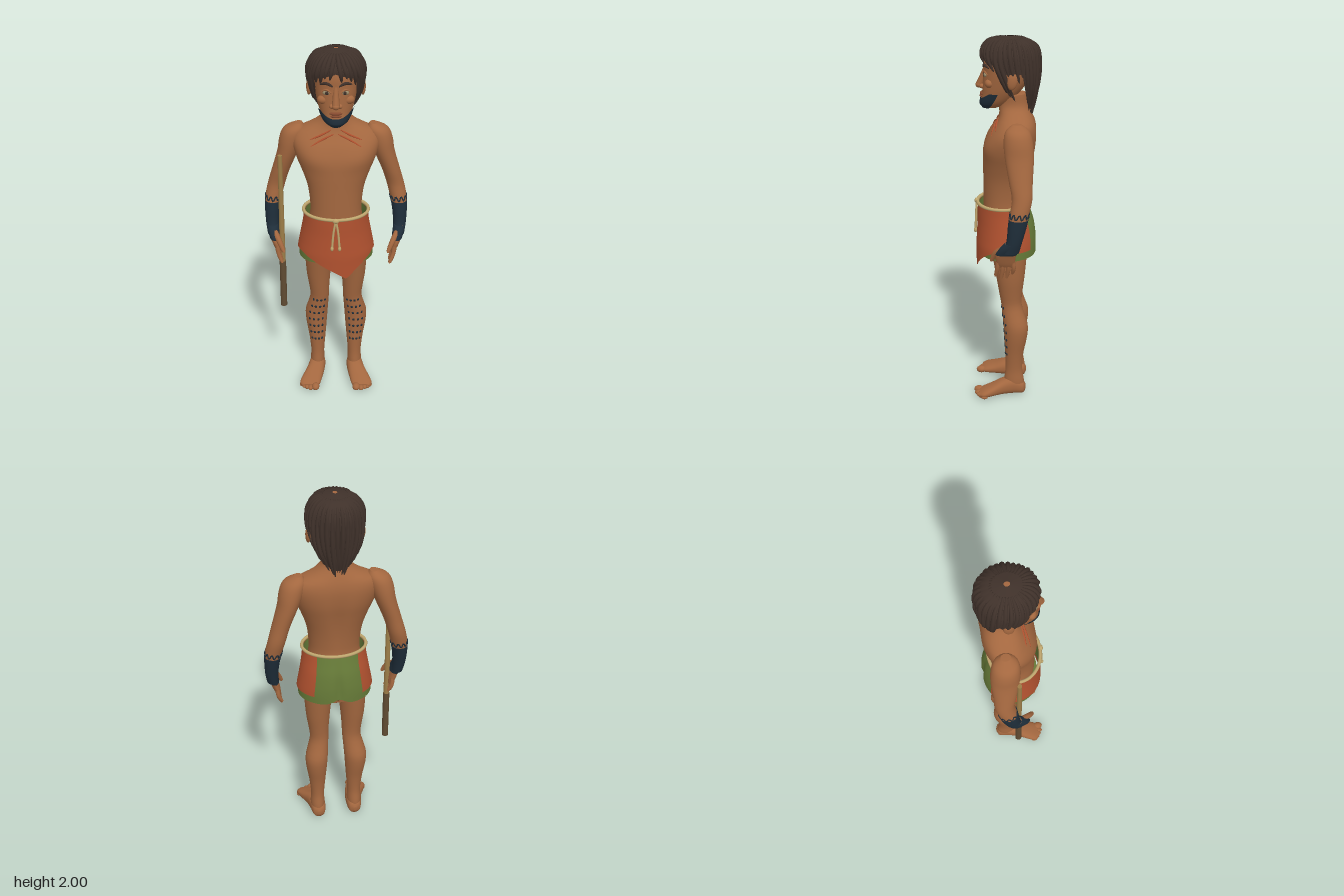
import * as THREE from 'three';
import { mergeVertices } from 'three/addons/utils/BufferGeometryUtils.js';

const mat = (name, color, side = THREE.FrontSide) => {
  const m = new THREE.MeshStandardMaterial({ color, side });
  m.name = name;
  return m;
};
const V = (x, y, z) => new THREE.Vector3(x, y, z);
const gauss = (x, w) => Math.exp(-(x * x) / (w * w));
const spow = (v, p) => Math.sign(v) * Math.abs(v) ** p;

// Smooth body surface through sections [y, centreX, centreZ, radiusX, radiusZ], rising in y.
// Angle 0 faces front, positive angles turn towards +x.
function surface(S, p = 1, bump = () => 0) {
  const slope = (i, k) => {
    const a = S[Math.max(0, i - 1)], b = S[Math.min(S.length - 1, i + 1)];
    return (b[k] - a[k]) / (b[0] - a[0]);
  };
  const at = (y) => {
    let i = 0;
    while (i < S.length - 2 && y > S[i + 1][0]) i++;
    const h = S[i + 1][0] - S[i][0], u = THREE.MathUtils.clamp((y - S[i][0]) / h, 0, 1), u2 = u * u, u3 = u2 * u;
    return [1, 2, 3, 4].map((k) => (2 * u3 - 3 * u2 + 1) * S[i][k] + (u3 - 2 * u2 + u) * h * slope(i, k)
      + (3 * u2 - 2 * u3) * S[i + 1][k] + (u3 - u2) * h * slope(i + 1, k));
  };
  const f = (y, a, grow = 0) => {
    const [cx, cz, rx, rz] = at(y), g = grow + bump(y, a);
    return V(cx + Math.max(0.001, rx + g) * spow(Math.sin(a), p), y, cz + Math.max(0.001, rz + g) * spow(Math.cos(a), p));
  };
  f.front = (x, y, grow) => f(y, Math.asin(spow((x - at(y)[0]) / at(y)[2], 1 / p)), grow);
  f.y0 = S[0][0];
  f.y1 = S[S.length - 1][0];
  return f;
}

// Closed body between two heights
function loft(f, { from = f.y0, to = f.y1, grow = 0, rows = 40, seg = 40, caps = true } = {}) {
  const pos = [], idx = [];
  for (let i = 0; i <= rows; i++) {
    const y = from + (to - from) * (1 - Math.cos(Math.PI * i / rows)) / 2;
    for (let j = 0; j < seg; j++) pos.push(...f(y, j / seg * Math.PI * 2, grow).toArray());
  }
  for (let i = 0; i < rows; i++) for (let j = 0; j < seg; j++) {
    const a = i * seg + j, b = i * seg + (j + 1) % seg;
    idx.push(a, b, a + seg, b, b + seg, a + seg);
  }
  if (caps) for (const [row, y] of [[0, from], [rows, to]]) {
    const c = pos.length / 3, m = f(y, 0).add(f(y, Math.PI)).multiplyScalar(0.5);
    pos.push(m.x, m.y, m.z);
    for (let j = 0; j < seg; j++) {
      const a = row * seg + j, b = row * seg + (j + 1) % seg;
      row ? idx.push(a, b, c) : idx.push(b, a, c);
    }
  }
  return toGeometry(pos, idx);
}

// Sheet lying on a surface, with its own lower and upper edge
function sheet(f, a0, a1, top, bottom, grow, { cols = 80, rows = 20, power = 1 } = {}) {
  const pos = [], idx = [], w = cols + 1;
  for (let i = 0; i <= rows; i++) for (let j = 0; j <= cols; j++) {
    const a = a0 + (a1 - a0) * j / cols, t = (1 - i / rows) ** power;
    pos.push(...f(top(a) + (bottom(a) - top(a)) * t, a, grow).toArray());
  }
  for (let i = 0; i < rows; i++) for (let j = 0; j < cols; j++) {
    const a = i * w + j;
    idx.push(a, a + 1, a + w, a + 1, a + w + 1, a + w);
  }
  return toGeometry(pos, idx);
}

function toGeometry(pos, idx) {
  let g = new THREE.BufferGeometry();
  g.setAttribute('position', new THREE.Float32BufferAttribute(pos, 3));
  g.setIndex(idx);
  g = mergeVertices(g, 1e-5);
  g.computeVertexNormals();
  return g;
}

// Tube whose radius follows a rule along its length
function tube(points, radius, closed = false, seg = 20, sides = 8) {
  const curve = new THREE.CatmullRomCurve3(points, closed), g = new THREE.TubeGeometry(curve, seg, 1, sides, closed);
  const p = g.attributes.position, v = V(0, 0, 0);
  for (let i = 0; i < p.count; i++) {
    const t = Math.floor(i / (sides + 1)) / seg, c = curve.getPointAt(Math.min(1, t));
    v.fromBufferAttribute(p, i).sub(c).multiplyScalar(typeof radius === 'number' ? radius : radius(t)).add(c);
    p.setXYZ(i, v.x, v.y, v.z);
  }
  return g;
}
const finger = (r) => (t) => r * (1 - 0.25 * t) * Math.sqrt(Math.max(0, 1 - t ** 8));
const strand = (r) => (t) => r * Math.sqrt(Math.max(0, Math.sin(Math.PI * Math.min(1, 0.05 + t * 0.95))));

export function createModel() {
  const root = new THREE.Group();
  root.name = 'figure';
  const skin = mat('skin', 0xa3673f), hairMat = mat('dark hair', 0x3f312a, THREE.DoubleSide);
  const navy = mat('navy dye', 0x1f2e3a, THREE.DoubleSide), red = mat('rust cloth', 0xb0512f, THREE.DoubleSide);
  const green = mat('green cloth', 0x667a38, THREE.DoubleSide), cord = mat('cord', 0xbfa66e);
  const cane = mat('cane', 0x9c7d48), darkCane = mat('dark cane', 0x604b32);
  const lip = mat('lip brown', 0x84492f), eyeMat = mat('eye', 0x9a8a68);
  const add = (parent, name, g, m) => {
    const mesh = new THREE.Mesh(g, m);
    mesh.name = name;
    parent.add(mesh);
    return mesh;
  };
  const ball = (parent, name, m, [x, y, z], [a, b, c]) => {
    const o = add(parent, name, new THREE.SphereGeometry(1, 16, 12), m);
    o.position.set(x, y, z);
    o.scale.set(a, b, c);
    return o;
  };

  // Torso with chest, spine groove and neck
  const torso = surface([[0.82, 0, -0.015, 0.13, 0.11], [0.92, 0, -0.012, 0.16, 0.13], [1.0, 0, 0, 0.155, 0.128],
    [1.1, 0, 0.012, 0.138, 0.116], [1.18, 0, 0.01, 0.14, 0.118], [1.26, 0, 0.004, 0.153, 0.124], [1.34, 0, -0.004, 0.18, 0.132],
    [1.42, 0, -0.015, 0.212, 0.138], [1.5, 0, -0.032, 0.228, 0.125], [1.55, 0, -0.045, 0.2, 0.103], [1.585, 0, -0.045, 0.125, 0.088],
    [1.63, 0, -0.035, 0.074, 0.078], [1.7, 0, -0.025, 0.068, 0.075]], 0.92,
  (y, a) => 0.01 * gauss(Math.abs(a > Math.PI ? a - 2 * Math.PI : a) - 0.55, 0.4) * gauss(y - 1.44, 0.06)
    - 0.012 * gauss(Math.abs(a) - Math.PI, 0.2) * gauss(y - 1.32, 0.2));
  add(root, 'torso', loft(torso, { rows: 60, seg: 64 }), skin);

  // Chest paint
  for (const s of [-1, 1]) for (const line of [[[0.012, 1.555], [0.06, 1.535], [0.13, 1.495]], [[0.025, 1.575], [0.075, 1.55], [0.135, 1.525]]])
    add(root, 'chestPaint', tube(line.map(([x, y]) => torso.front(s * x, y, 0)), strand(0.0055)), red);

  // One side of the body, mirrored for the other
  const side = new THREE.Group();
  side.name = 'leftLimbs';
  const arm = surface([[0.94, 0.343, -0.025, 0.028, 0.042], [1.0, 0.348, -0.045, 0.032, 0.038], [1.08, 0.346, -0.06, 0.038, 0.045],
    [1.15, 0.337, -0.072, 0.045, 0.049], [1.22, 0.32, -0.084, 0.047, 0.052], [1.3, 0.296, -0.077, 0.048, 0.06],
    [1.42, 0.254, -0.068, 0.056, 0.074], [1.5, 0.232, -0.062, 0.064, 0.074], [1.55, 0.215, -0.058, 0.055, 0.06], [1.578, 0.195, -0.055, 0.02, 0.025]]);
  add(side, 'arm', loft(arm), skin);
  add(side, 'dyedForearm', loft(arm, { to: 1.12, grow: 0.003 }), navy);
  add(side, 'zigzagBand', tube(Array.from({ length: 20 }, (_, i) => arm(i % 2 ? 1.155 : 1.128, i / 20 * Math.PI * 2)), 0.004, true, 120, 6), navy);
  const palm = surface([[0.85, 0.312, 0.0, 0.014, 0.042], [0.87, 0.318, 0.0, 0.019, 0.048], [0.92, 0.332, -0.002, 0.024, 0.052],
    [0.96, 0.342, -0.018, 0.029, 0.047], [0.99, 0.347, -0.035, 0.03, 0.038]]);
  add(side, 'palm', loft(palm, { rows: 16, seg: 24 }), skin);
  add(side, 'dyedHandBack', loft(palm, { from: 0.925, grow: 0.003, rows: 12, seg: 24 }), navy);
  [[-0.036, 0.8], [-0.012, 0.775], [0.013, 0.77], [0.037, 0.785]].forEach(([z, y]) =>
    add(side, 'finger', tube([V(0.32, 0.885, z), V(0.313, 0.84, z * 1.15), V(0.293, y, z * 1.2 + 0.01)], finger(0.0135)), skin));
  add(side, 'thumb', tube([V(0.333, 0.96, 0.01), V(0.308, 0.925, 0.05), V(0.28, 0.865, 0.078)], finger(0.0165)), skin);

  // Leg with rows of dye dots on the shin
  const leg = surface([[0.03, 0.108, -0.045, 0.038, 0.055], [0.08, 0.108, -0.042, 0.04, 0.055], [0.15, 0.107, -0.04, 0.038, 0.047],
    [0.25, 0.108, -0.043, 0.047, 0.051], [0.35, 0.112, -0.05, 0.059, 0.063], [0.42, 0.111, -0.05, 0.063, 0.067], [0.48, 0.101, -0.037, 0.057, 0.061],
    [0.54, 0.092, -0.026, 0.052, 0.056], [0.6, 0.094, -0.022, 0.056, 0.062], [0.7, 0.097, -0.02, 0.067, 0.076], [0.85, 0.093, -0.015, 0.078, 0.095], [0.94, 0.085, -0.015, 0.075, 0.1]]);
  add(side, 'leg', loft(leg, { rows: 56 }), skin);
  for (let r = 0; r < 7; r++) for (let c = 0; c < 4; c++) {
    const p = leg(0.25 + r * 0.046, -0.62 + c * 0.42, -0.002);
    ball(side, 'shinDot', navy, p.toArray(), [0.0075, 0.0085, 0.006]);
  }

  // Foot, lofted from heel to toe
  const foot = surface([[-0.107, 0.106, -0.034, 0.008, 0.012], [-0.095, 0.106, -0.036, 0.032, 0.034], [-0.04, 0.108, -0.05, 0.045, 0.05],
    [0.02, 0.118, -0.044, 0.05, 0.044], [0.08, 0.137, -0.031, 0.057, 0.031], [0.125, 0.149, -0.022, 0.058, 0.022], [0.15, 0.148, -0.018, 0.045, 0.014]], 0.85);
  add(side, 'foot', loft(foot, { rows: 30 }).rotateX(Math.PI / 2), skin);
  [[0.117, 0.155, 0.022, 0.028], [0.145, 0.155, 0.015, 0.024], [0.166, 0.146, 0.014, 0.022], [0.183, 0.136, 0.013, 0.02], [0.197, 0.122, 0.012, 0.019]]
    .forEach(([x, z, r, l]) => ball(side, 'toe', skin, [x, r * 0.9, z], [r, r * 0.9, l]));
  root.add(side);
  const other = side.clone();
  other.name = 'rightLimbs';
  other.scale.x = -1;
  root.add(other);

  // Green shorts and rust wrap
  const hips = [[0.74, 0, 0, 0.212, 0.166], [0.83, 0, 0, 0.207, 0.166], [0.88, 0, 0, 0.206, 0.166], [0.93, 0, 0, 0.197, 0.163],
    [1.0, 0, 0.004, 0.184, 0.155], [1.06, 0, 0.013, 0.174, 0.145], [1.11, 0, 0.02, 0.17, 0.136]];
  const wrap = surface(hips);
  const shorts = surface(hips, 1, (y, a) => -0.014 * gauss(Math.abs(a) - Math.PI, 0.12) * gauss(y - 0.9, 0.12));
  add(root, 'shorts', sheet(shorts, -Math.PI, Math.PI, () => 1.105, (a) => 0.83 + 0.025 * gauss(Math.abs(a) - Math.PI, 0.25) + 0.03 * gauss(a, 0.5), -0.006), green);
  add(root, 'shortsBase', loft(wrap, { from: 0.85, to: 0.88, grow: -0.02, rows: 4 }), green);
  add(root, 'wrapCloth', sheet(wrap, -2.45, 2.45, () => 1.11, (a) => {
    if (Math.abs(a) > 1.4) return 0.875;
    const x = Math.sin(a), d = x > 0.27 ? (x - 0.27) / 0.7 : (0.27 - x) / 1.15;
    return 0.75 + 0.13 * Math.min(1, d) ** 0.85;
  }, 0.002), red);

  // Cord belt with knot and tails
  add(root, 'cordBelt', tube(Array.from({ length: 24 }, (_, i) => wrap(1.11, i / 24 * Math.PI * 2, 0.004)), 0.009, true, 96), cord);
  ball(root, 'beltKnot', cord, [0, 1.108, 0.165], [0.018, 0.014, 0.012]);
  for (const s of [-1, 1]) {
    add(root, 'cordTail', tube([V(0, 1.11, 0.165), V(s * 0.012, 1.04, 0.168), V(s * 0.02, 0.945, 0.172)], 0.006), cord);
    ball(root, 'tailKnot', cord, [s * 0.02, 0.945, 0.172], [0.009, 0.014, 0.009]);
  }

  // Long cane pipe held in the right hand
  [[0.74, 1.41, 0.012, 0.016, cane], [0.48, 0.77, 0.018, 0.018, darkCane]].forEach(([y0, y1, r1, r0, m]) => {
    add(root, 'canePipe', new THREE.CylinderGeometry(r1, r0, y1 - y0, 16), m).position.set(-0.295, (y0 + y1) / 2, -0.002);
  });

  // Head
  const head = surface([[1.622, 0, 0.088, 0.025, 0.035], [1.645, 0, 0.068, 0.058, 0.07], [1.7, 0, 0.035, 0.086, 0.096], [1.76, 0, 0.012, 0.102, 0.115],
    [1.82, 0, 0, 0.111, 0.122], [1.88, 0, -0.01, 0.115, 0.13], [1.94, 0, -0.015, 0.098, 0.113], [1.975, 0, -0.015, 0.05, 0.06]], 0.93);
  add(root, 'head', loft(head), skin);
  add(root, 'chinBeard', sheet(head, -1.45, 1.45, (a) => 1.672 + 0.035 * Math.min(1, Math.abs(a)) ** 2, () => 1.622, 0.006, { cols: 40 }), navy);
  add(root, 'noseBridge', tube([V(0, 1.83, 0.112), V(0, 1.79, 0.126), V(0, 1.745, 0.143)], (t) => 0.012 + 0.008 * t), skin);
  ball(root, 'noseTip', skin, [0, 1.742, 0.144], [0.02, 0.017, 0.021]);
  ball(root, 'upperLip', lip, [0, 1.699, 0.131], [0.033, 0.008, 0.012]);
  ball(root, 'lowerLip', lip, [0, 1.685, 0.132], [0.028, 0.008, 0.012]);
  for (const s of [-1, 1]) {
    ball(root, 'nostril', skin, [s * 0.02, 1.738, 0.13], [0.014, 0.012, 0.015]);
    ball(root, 'cheek', skin, [s * 0.062, 1.76, 0.09], [0.032, 0.024, 0.025]);
    const e = head.front(s * 0.045, 1.803, 0);
    ball(root, 'eye', eyeMat, [e.x, e.y, e.z - 0.004], [0.021, 0.013, 0.011]);
    ball(root, 'pupil', hairMat, [e.x, e.y, e.z + 0.004], [0.009, 0.01, 0.005]);
    add(root, 'upperLid', tube([[0.02, 1.803], [0.045, 1.819], [0.072, 1.805]].map(([x, y]) => head.front(s * x, y, 0.002)), strand(0.005)), skin);
    add(root, 'eyebrow', tube([[0.015, 1.838], [0.045, 1.852], [0.08, 1.84]].map(([x, y]) => head.front(s * x, y, 0.002)), strand(0.008)), hairMat);
    ball(root, 'ear', skin, [s * 0.138, 1.785, -0.03], [0.014, 0.044, 0.026]).rotation.x = -0.15;
  }

  // Hair cap with parted fringe, side locks and long back
  const hair = surface([[1.61, 0, -0.08, 0.055, 0.045], [1.68, 0, -0.07, 0.1, 0.078], [1.75, 0, -0.05, 0.13, 0.108], [1.83, 0, -0.03, 0.141, 0.134],
    [1.9, 0, -0.018, 0.14, 0.15], [1.95, 0, -0.015, 0.118, 0.132], [1.98, 0, -0.015, 0.08, 0.092], [1.995, 0, -0.015, 0.012, 0.015]], 1,
  (y, a) => 0.005 * Math.abs(Math.sin(a * 11 + (1.9 - y) * 4)) * Math.min(1, (2 - y) * 12));
  const hairline = (a) => {
    const b = Math.abs(a);
    if (b < 0.85) return 1.905 - 0.05 * b;
    if (b < 1.3) return 1.72;
    if (b < 1.95) return 1.82;
    return 1.7 - 0.075 * Math.min(1, (b - 1.95) / 0.7);
  };
  add(root, 'hairCap', sheet(hair, -Math.PI, Math.PI, () => 1.995, hairline, 0, { cols: 200, rows: 40, power: 2 }), hairMat);
  for (let i = 0; i < 34; i++) {
    const a = -Math.PI + (i + 0.5) / 34 * Math.PI * 2, low = hairline(a) - 0.018 - 0.015 * (i * 7 % 3);
    const path = [0, 0.12, 0.35, 0.65, 1].map((t) => hair(1.985 + (low - 1.985) * t, a + 0.12 * Math.sign(a) * t * (Math.abs(a) < 1 ? 1 : 0), -0.003));
    add(root, 'hairLock', tube(path, strand(0.012)), hairMat);
  }
  return root;
}
